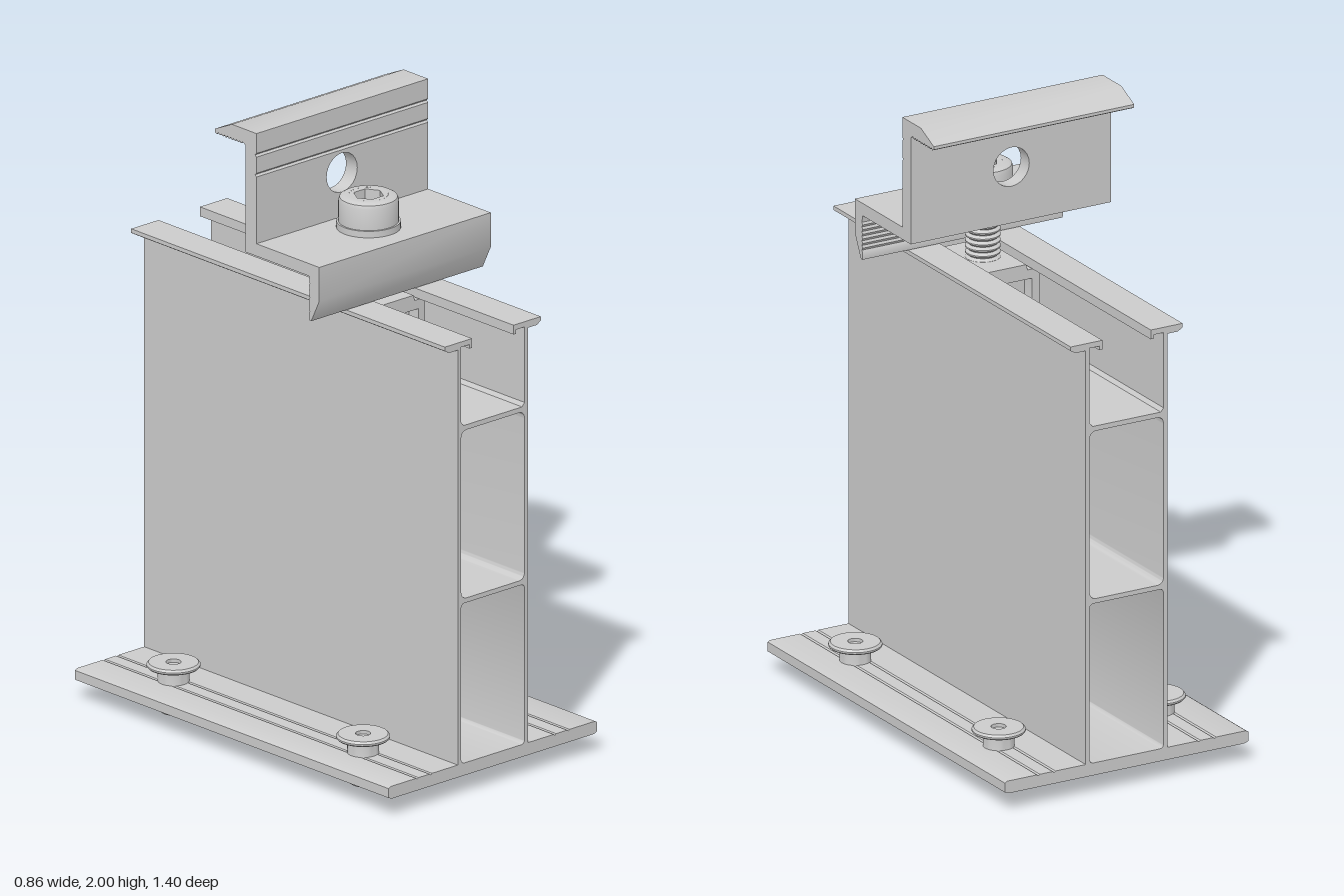
import * as THREE from 'three';
import { toCreasedNormals } from 'three/addons/utils/BufferGeometryUtils.js';

const material = new THREE.MeshStandardMaterial({ color: 0xcccccc });

const toShape = (pts) => new THREE.Shape(pts.map(([x, y]) => new THREE.Vector2(x, y)));

function mesh(name, geometry) {
  const m = new THREE.Mesh(toCreasedNormals(geometry, 0.6), material);
  m.name = name;
  return m;
}

// extrude an x-y section from z0 to z1
function alongZ(shape, z0, z1) {
  return new THREE.ExtrudeGeometry(shape, { depth: z1 - z0, bevelEnabled: false, curveSegments: 12 }).translate(0, 0, z0);
}

// extrude a [z, y] section from x0 to x1
function alongX(pts, x0, x1) {
  const shape = toShape(pts.map(([z, y]) => [-z, y]));
  return alongZ(shape, x0, x1).rotateY(Math.PI / 2);
}

function lathe(pts, segments = 40) {
  return new THREE.LatheGeometry(pts.map(([r, y]) => new THREE.Vector2(r, y)), segments);
}

// complete a right-hand half section with its mirror image
const mirrored = (half) => [...half, ...half.slice().reverse().map(([x, y]) => [-x, y])];

function roundedHole(w, y0, y1, r) {
  const p = new THREE.Path();
  p.moveTo(-w + r, y0);
  p.lineTo(w - r, y0);
  p.quadraticCurveTo(w, y0, w, y0 + r);
  p.lineTo(w, y1 - r);
  p.quadraticCurveTo(w, y1, w - r, y1);
  p.lineTo(-w + r, y1);
  p.quadraticCurveTo(-w, y1, -w, y1 - r);
  p.lineTo(-w, y0 + r);
  p.quadraticCurveTo(-w, y0, -w + r, y0);
  return p;
}

function circlePath(x, y, r) {
  return new THREE.Path().absarc(x, y, r, 0, Math.PI * 2, true);
}

// footed rail: base plate, two closed cells and an open top slot
function makeRail() {
  const shape = toShape(mirrored([
    [0.415, 0.06], [0.428, 0.065], [0.428, 0.095], [0.42, 0.1],
    [0.315, 0.1], [0.31, 0.096], [0.305, 0.1],
    [0.26, 0.1], [0.255, 0.096], [0.25, 0.1],
    [0.144, 0.1], [0.144, 1.437], [0.18, 1.437], [0.197, 1.447], [0.197, 1.46],
    [0.085, 1.46], [0.085, 1.43], [0.096, 1.43], [0.096, 1.443], [0.13, 1.443],
    [0.13, 1.2], [0.12, 1.188],
  ]));
  shape.holes.push(roundedHole(0.13, 0.1, 0.615, 0.015), roundedHole(0.13, 0.63, 1.172, 0.025));
  return mesh('rail', alongZ(shape, -0.7, 0.7));
}

// blind rivet with wide flange, shank, bulged end and a bored centre
function makeRivet(x, z) {
  const rivet = mesh('rivet', lathe([
    [0, 0.03], [0.022, 0.03], [0.022, 0.003], [0.036, 0], [0.046, 0.008], [0.053, 0.028],
    [0.053, 0.045], [0.048, 0.058], [0.048, 0.145],
    [0.078, 0.145], [0.082, 0.149], [0.082, 0.154], [0.076, 0.161],
    [0.023, 0.161], [0.023, 0.15], [0, 0.15],
  ], 32));
  rivet.position.set(x, 0, z);
  return rivet;
}

// Z-shaped clamp
function makeClamp() {
  const clamp = new THREE.Group();
  clamp.name = 'clamp';
  const x0 = -0.345, x1 = 0.36, front = 0.02, back = -0.03;

  // top lip with toothed underside, and the grooved upper wall
  const teeth = [];
  for (let i = 0; i < 9; i++) {
    const z = -0.157 + i * 0.0135;
    teeth.push([z, 1.95], [z + 0.0068, 1.957]);
  }
  const lip = [[front, 1.857], [front, 2], [-0.09, 2], [-0.166, 1.965], [-0.166, 1.955],
    ...teeth, [back, 1.95], [back, 1.857]];
  const groove = (y) => [[front, y - 0.006], [front - 0.006, y], [front, y + 0.006]];
  lip.splice(1, 0, ...groove(1.866), ...groove(1.93));
  clamp.add(mesh('clampTopLip', alongX(lip, x0, x1)));

  // upright wall with a round hole
  const wall = toShape([[x0, 1.605], [x1, 1.605], [x1, 1.857], [x0, 1.857]]);
  wall.holes.push(circlePath(0.006, 1.787, 0.063));
  clamp.add(mesh('clampWall', alongZ(wall, back, front)));

  // foot with a pointed, ribbed front lip
  const ribs = [];
  for (let i = 0; i < 7; i++) {
    const y = 1.485 + i * 0.015;
    ribs.push([0.254, y], [0.258, y + 0.0075]);
  }
  clamp.add(mesh('clampFoot', alongX([
    [front, 1.605], [front, 1.645], [0.3, 1.645], [0.3, 1.535], [0.264, 1.462], [0.256, 1.462],
    ...ribs, [0.254, 1.605],
  ], x0, x1)));
  return clamp;
}

// socket-head bolt with washer and threaded shank
function makeBolt() {
  const bolt = new THREE.Group();
  bolt.name = 'bolt';
  bolt.add(mesh('washer', lathe([[0.05, 1.645], [0.098, 1.645], [0.098, 1.666], [0.05, 1.666]])));
  bolt.add(mesh('boltHead', lathe([
    [0.05, 1.666], [0.092, 1.666], [0.092, 1.733], [0.088, 1.744], [0.078, 1.75], [0.06, 1.75],
  ])));

  const face = new THREE.Shape().absarc(0, 0, 0.06, 0, Math.PI * 2);
  const hex = [];
  for (let i = 0; i < 6; i++) {
    const a = -i * Math.PI / 3;
    hex.push(new THREE.Vector2(0.047 * Math.cos(a), 0.047 * Math.sin(a)));
  }
  face.holes.push(new THREE.Path(hex));
  bolt.add(mesh('hexSocket', alongZ(face, 1.69, 1.75).rotateX(-Math.PI / 2)));
  const floor = mesh('socketFloor', new THREE.CircleGeometry(0.058, 24).rotateX(-Math.PI / 2));
  floor.position.y = 1.695;
  bolt.add(floor);

  const thread = [[0, 1.3], [0.044, 1.3]];
  for (let y = 1.31; y < 1.63; y += 0.0185) thread.push([0.054, y], [0.054, y + 0.004], [0.044, y + 0.011]);
  thread.push([0.044, 1.65]);
  bolt.add(mesh('threadedShank', lathe(thread, 28)));
  bolt.position.set(0.005, 0, 0.14);
  return bolt;
}

// clip hanging in the slot, holding a square nut
function makeSlotNut() {
  const slotNut = new THREE.Group();
  slotNut.name = 'slotNut';
  const clip = toShape(mirrored([
    [0.09, 1.395], [0.09, 1.285], [0.082, 1.262], [0.092, 1.254], [0.108, 1.265], [0.117, 1.29],
    [0.117, 1.425], [0.075, 1.425], [0.07, 1.443],
  ]));
  slotNut.add(mesh('nutClip', alongZ(clip, 0.01, 0.27)));
  const nut = mesh('nut', new THREE.BoxGeometry(0.176, 0.085, 0.18));
  nut.position.set(0, 1.34, 0.14);
  slotNut.add(nut);
  return slotNut;
}

export function createModel() {
  const model = new THREE.Group();
  model.name = 'railWithClamp';
  model.add(makeRail(), makeClamp(), makeBolt(), makeSlotNut());
  for (const x of [-0.278, 0.285]) for (const z of [-0.423, 0.423]) model.add(makeRivet(x, z));
  return model;
}
